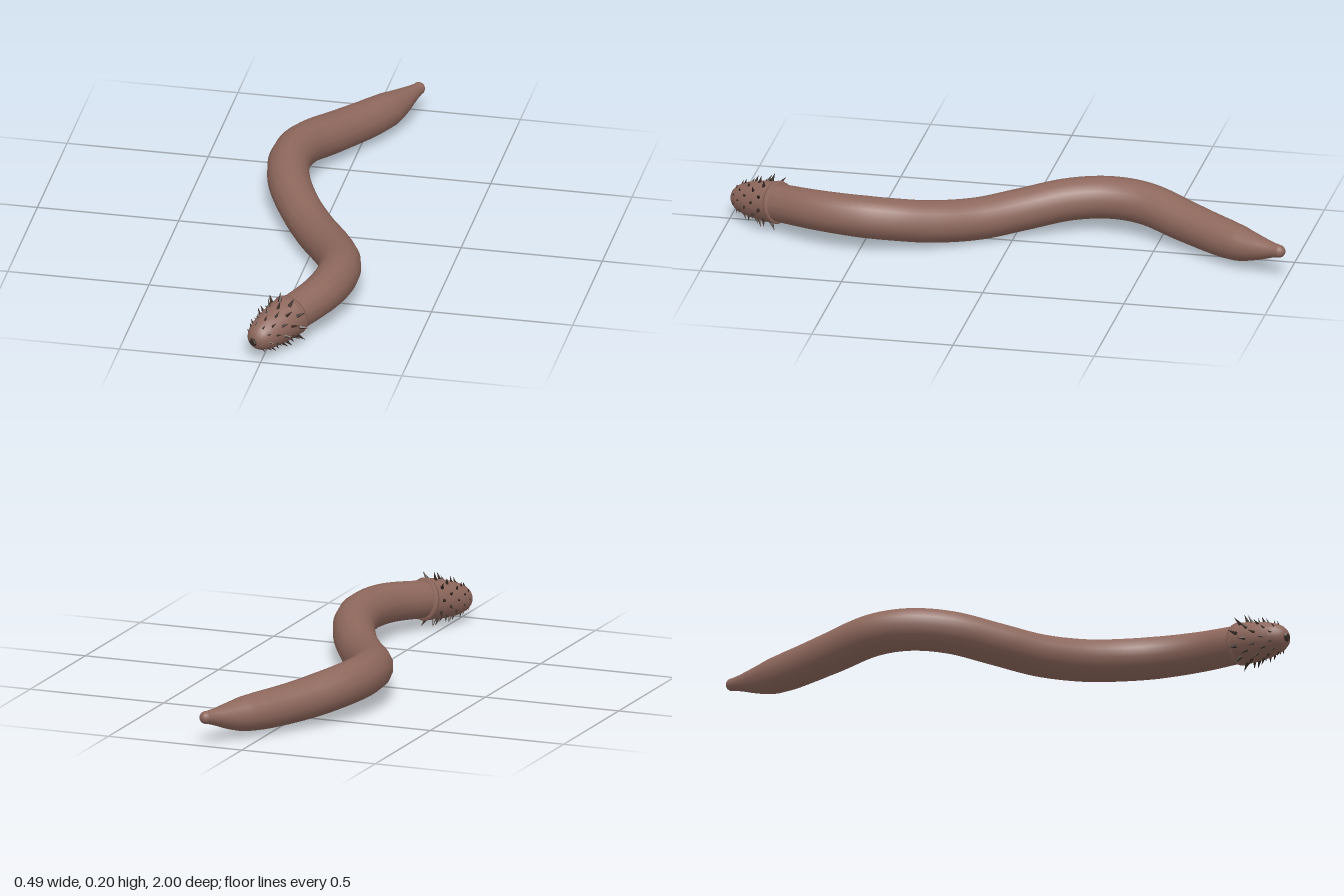
import * as THREE from 'three';

const V = (x, y, z) => new THREE.Vector3(x, y, z);
const UP = V(0, 1, 0);

const skin = new THREE.MeshStandardMaterial({ color: 0x8d675c });
skin.name = 'skin brown';
const dark = new THREE.MeshStandardMaterial({ color: 0x3b2c24, flatShading: true });
dark.name = 'dark horn';

// Linear lookup in a list of [position, value] pairs
function lookup(table, s) {
  for (let i = 1; i < table.length; i++) {
    const [a, ra] = table[i - 1], [b, rb] = table[i];
    if (s <= b) return ra + (rb - ra) * Math.max(0, (s - a) / (b - a));
  }
  return table[table.length - 1][1];
}

// Tube whose radius varies with the distance along its curve
function taperedTube(curve, radii, segments, sides) {
  const geo = new THREE.TubeGeometry(curve, segments, 1, sides, false);
  const pos = geo.attributes.position, nor = geo.attributes.normal;
  const length = curve.getLength();
  const v = V(0, 0, 0), n = V(0, 0, 0);
  for (let i = 0; i <= segments; i++) {
    const u = i / segments, s = u * length;
    const p = curve.getPointAt(u), t = curve.getTangentAt(u);
    const r = lookup(radii, s);
    const slope = (lookup(radii, s + 0.02) - lookup(radii, s - 0.02)) / 0.04;
    for (let j = 0; j <= sides; j++) {
      const k = i * (sides + 1) + j;
      v.fromBufferAttribute(pos, k).sub(p).multiplyScalar(r).add(p);
      n.fromBufferAttribute(nor, k).addScaledVector(t, -slope).normalize();
      pos.setXYZ(k, v.x, v.y, v.z);
      nor.setXYZ(k, n.x, n.y, n.z);
    }
  }
  return geo;
}

export function createModel() {
  const model = new THREE.Group();
  model.name = 'spinyWorm';
  const add = (parent, name, geo, mat) => {
    const mesh = new THREE.Mesh(geo, mat);
    mesh.name = name;
    parent.add(mesh);
    return mesh;
  };

  // Winding body from tail to neck
  const spine = new THREE.CatmullRomCurve3([
    V(0.145, 0.102, -0.975), V(0.08, 0.088, -0.85), V(0.022, 0.088, -0.75),
    V(-0.068, 0.1, -0.6), V(-0.15, 0.121, -0.44), V(-0.17, 0.125, -0.31),
    V(-0.145, 0.116, -0.17), V(-0.075, 0.094, -0.02), V(0.01, 0.081, 0.12),
    V(0.1, 0.093, 0.27), V(0.152, 0.111, 0.39), V(0.17, 0.121, 0.51),
    V(0.145, 0.121, 0.66), V(0.066, 0.106, 0.82),
  ]);
  const len = spine.getLength();
  const bodyRadii = [[0, 0.022], [0.03, 0.027], [0.1, 0.046], [0.17, 0.062],
    [0.25, 0.068], [0.5, 0.074], [len - 0.35, 0.074], [len, 0.066]];
  add(model, 'body', taperedTube(spine, bodyRadii, 90, 14), skin);

  // Rounded tail tip
  add(model, 'tailTip', new THREE.SphereGeometry(0.0225, 14, 10), skin)
    .position.copy(spine.getPointAt(0));

  // Head built upright along +y, then tilted along the neck direction
  const head = new THREE.Group();
  head.name = 'head';
  const base = V(0.066, 0.106, 0.815), tip = V(-0.028, 0.077, 0.988);
  head.position.copy(base);
  head.quaternion.setFromUnitVectors(UP, tip.clone().sub(base).normalize());
  model.add(head);

  const headProfile = [[0, 0.073], [0.04, 0.072], [0.08, 0.068], [0.12, 0.062],
    [0.15, 0.055], [0.175, 0.045], [0.19, 0.034], [0.199, 0.018], [0.201, 0]];
  add(head, 'snout', new THREE.LatheGeometry(
    headProfile.map(([s, r]) => new THREE.Vector2(r, s)), 20), skin);

  // Collar lip at the back of the head
  const collar = [[0.06, -0.008], [0.073, -0.008], [0.076, 0], [0.073, 0.008], [0.06, 0.008]];
  add(head, 'collar', new THREE.LatheGeometry(
    collar.map(([r, s]) => new THREE.Vector2(r, s)), 20), skin);

  // Faceted mouth
  const mouth = add(head, 'mouth', new THREE.CylinderGeometry(0.012, 0.02, 0.014, 6), dark);
  mouth.position.y = 0.2;

  // Staggered rings of backward-leaning spines, smaller towards the mouth
  const spines = new THREE.Group();
  spines.name = 'spines';
  head.add(spines);
  const perRing = 10;
  [0.03, 0.066, 0.102, 0.136, 0.165].forEach((s, ring) => {
    const size = 1 - ring * 0.13;
    const cone = new THREE.ConeGeometry(0.0075 * size, 0.036 * size, 5);
    cone.translate(0, 0.014 * size, 0);
    for (let i = 0; i < perRing; i++) {
      const a = ((i + (ring % 2) / 2) / perRing) * Math.PI * 2;
      const out = V(Math.cos(a), 0, Math.sin(a));
      const spike = add(spines, 'spine', cone, dark);
      spike.position.copy(out).multiplyScalar(lookup(headProfile, s)).setY(s);
      spike.quaternion.setFromUnitVectors(UP, out.setY(-0.5).normalize());
    }
  });

  return model;
}
